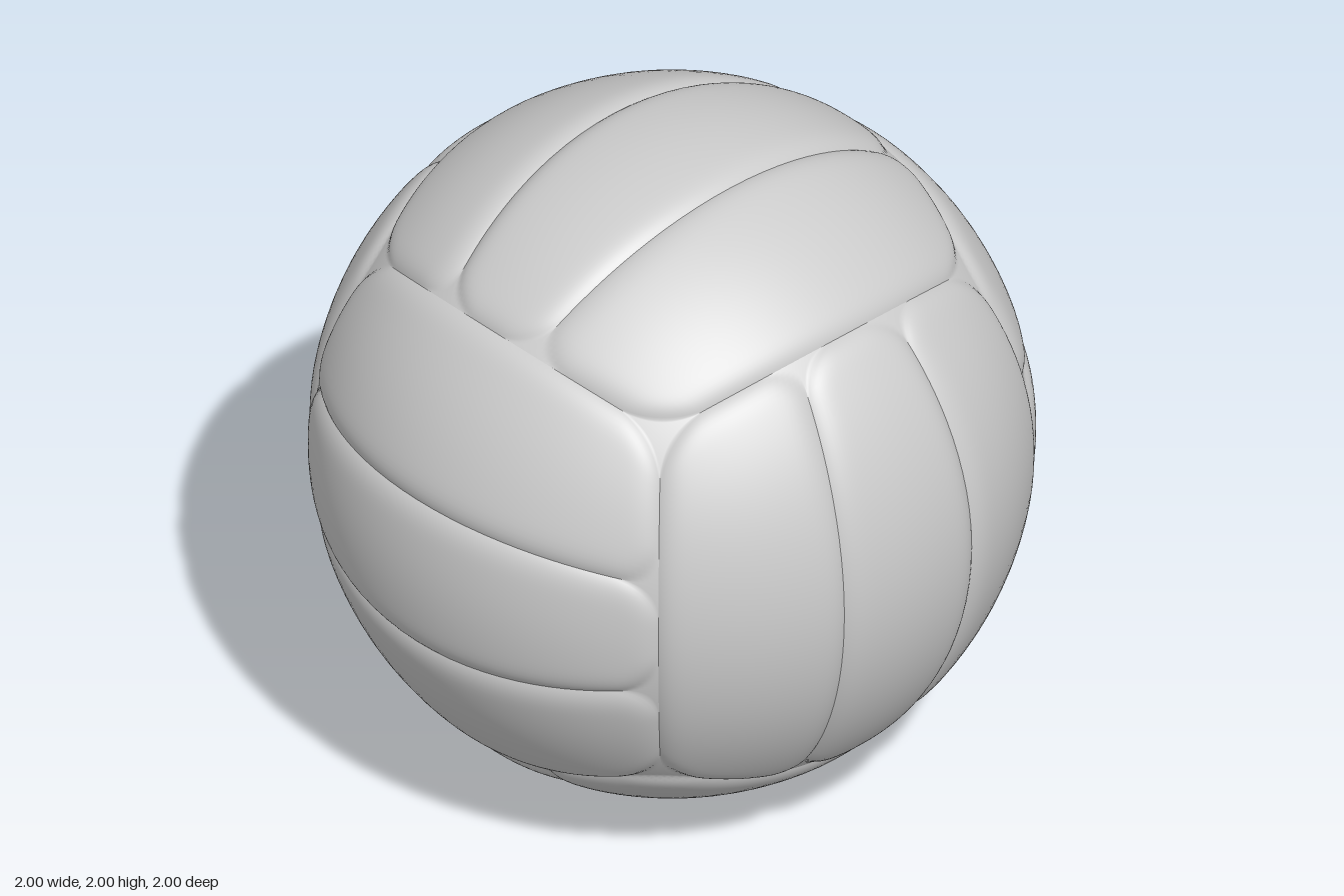
import * as THREE from 'three';

const SEAM = 0.25;    // seam offset on a cube face that spans -1..1
const DEPTH = 0.018;  // how far panel edges sink into the seams
const ROUND = 0.12;   // width of the rounded panel border

// Angular distance from direction d to the seam plane coord = c, as a 0..1 falloff
const falloff = (coord, n, c) => {
  const dist = Math.abs(Math.asin((coord - c * n) / Math.hypot(1, c)));
  return Math.max(0, 1 - dist / ROUND);
};

// One padded panel: a cube-face strip from u0 to u1 projected onto the sphere
function panelGeometry(u0, u1) {
  const geo = new THREE.PlaneGeometry(2, 2, 28, 48);
  const pos = geo.attributes.position;
  const d = new THREE.Vector3();
  const ease = t => Math.sin(t * Math.PI / 2); // finer rows near the borders
  for (let i = 0; i < pos.count; i++) {
    const u = (u0 + u1) / 2 + ease(pos.getX(i)) * (u1 - u0) / 2;
    const v = ease(pos.getY(i));
    d.set(u, v, 1).normalize();
    const fu = Math.max(falloff(d.x, d.z, u0), falloff(d.x, d.z, u1));
    const fv = Math.max(falloff(d.y, d.z, -1), falloff(d.y, d.z, 1));
    const f = Math.min(1, Math.hypot(fu, fv));
    d.multiplyScalar(1 - DEPTH * f ** 4);
    pos.setXYZ(i, d.x, d.y, d.z);
  }
  geo.computeVertexNormals();
  return geo;
}

export function createModel() {
  const ball = new THREE.Group();
  ball.name = 'ball';
  const material = new THREE.MeshStandardMaterial({ color: 0xcccccc });
  const strips = [
    ['sidePanelA', panelGeometry(-1, -SEAM)],
    ['middlePanel', panelGeometry(-SEAM, SEAM)],
    ['sidePanelB', panelGeometry(SEAM, 1)],
  ];

  // Six faces of three strips; strip direction turns from axis to axis
  const X = new THREE.Vector3(1, 0, 0);
  const Y = new THREE.Vector3(0, 1, 0);
  const Z = new THREE.Vector3(0, 0, 1);
  const faces = [
    ['front', 'back', X, Y, Z],
    ['left', 'right', Y, Z, X],
    ['top', 'bottom', Z, X, Y],
  ];
  for (const [near, far, across, along, out] of faces) {
    for (const sign of [1, -1]) {
      const face = new THREE.Group();
      face.name = (sign > 0 ? near : far) + 'Panels';
      const basis = new THREE.Matrix4().makeBasis(
        across.clone().multiplyScalar(sign), along, out.clone().multiplyScalar(sign));
      face.quaternion.setFromRotationMatrix(basis);
      for (const [name, geo] of strips) {
        const panel = new THREE.Mesh(geo, material);
        panel.name = name;
        face.add(panel);
      }
      ball.add(face);
    }
  }

  // Rest the ball on the ground
  ball.position.y = 1;
  const model = new THREE.Group();
  model.name = 'volleyball';
  model.add(ball);
  return model;
}
